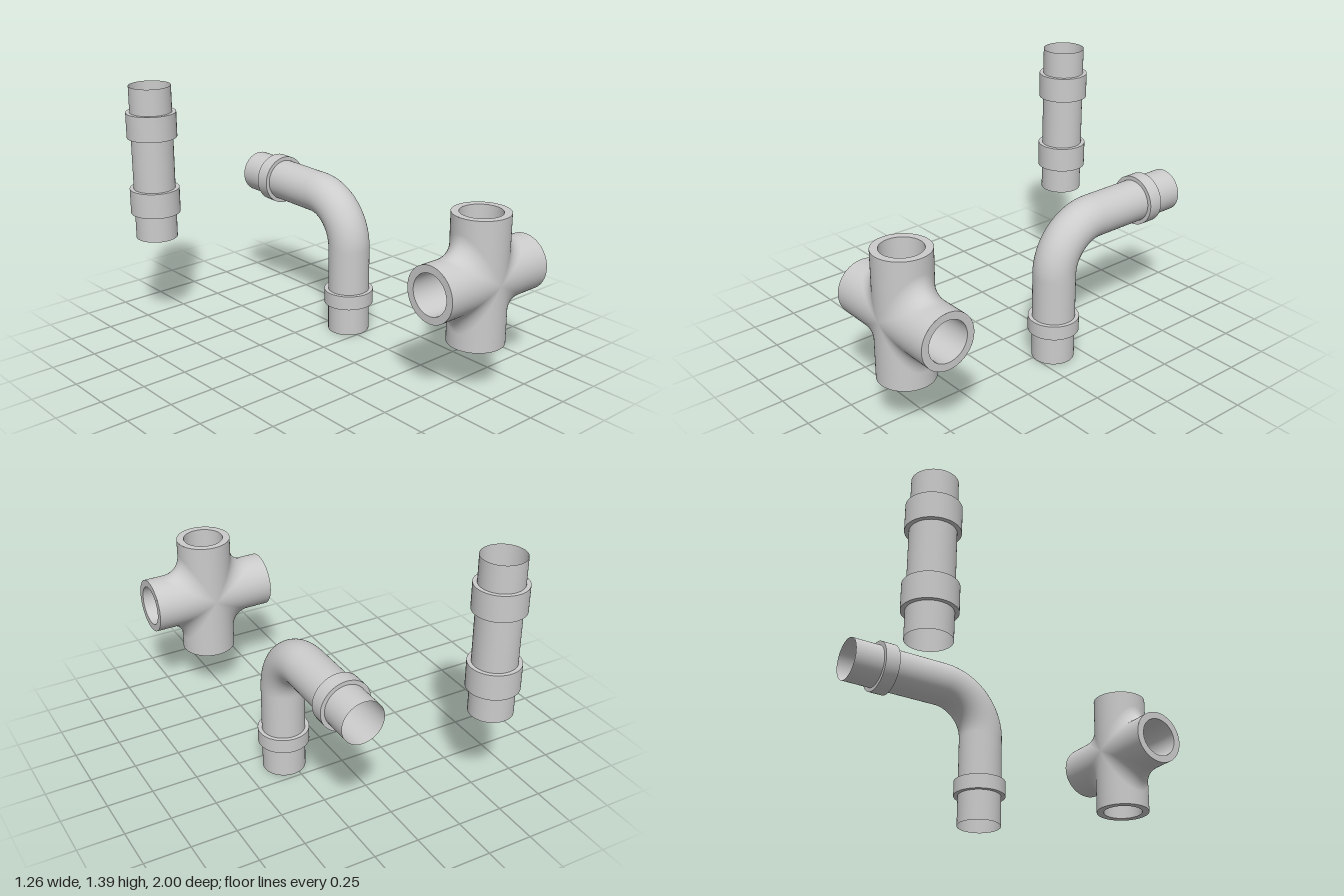
import * as THREE from 'three';
import { toCreasedNormals } from 'three/addons/utils/BufferGeometryUtils.js';

const PIPE_R = 0.115, COLLAR_R = 0.137, SIDES = 64;
const material = new THREE.MeshStandardMaterial({ color: 0xcccccc, side: THREE.DoubleSide });

function add(parent, name, geometry) {
  const mesh = new THREE.Mesh(geometry, material);
  mesh.name = name;
  parent.add(mesh);
  return mesh;
}

// Sleeve around a pipe, with flat ends; its axis is y
function addCollar(parent, name, height) {
  const h = height / 2;
  const profile = [[PIPE_R, -h], [COLLAR_R, -h], [COLLAR_R, h], [PIPE_R, h]]
    .map(([r, y]) => new THREE.Vector2(r, y));
  return add(parent, name, toCreasedNormals(new THREE.LatheGeometry(profile, SIDES), 0.6));
}

function straightPipe() {
  const group = new THREE.Group();
  group.name = 'straightPipe';
  add(group, 'straightTube', new THREE.CylinderGeometry(PIPE_R, PIPE_R, 0.861, SIDES, 1, true));
  addCollar(group, 'lowerCollar', 0.14).position.y = -0.215;
  addCollar(group, 'upperCollar', 0.14).position.y = 0.215;
  group.position.set(-0.493, 0.9635, -0.863);
  return group;
}

function elbowPipe() {
  const group = new THREE.Group();
  group.name = 'elbowPipe';
  const v = (y, z) => new THREE.Vector3(0, y, z);
  const topY = 0.749, bend = 0.26, k = bend * 0.5523;
  const start = v(topY - bend, 0), end = v(topY, -bend);
  const path = new THREE.CurvePath();
  path.add(new THREE.LineCurve3(v(0, 0), start));
  path.add(new THREE.CubicBezierCurve3(start, v(start.y + k, 0), v(topY, -bend + k), end));
  path.add(new THREE.LineCurve3(end, v(topY, -0.807)));
  add(group, 'elbowTube', new THREE.TubeGeometry(path, 120, PIPE_R, SIDES, false));
  addCollar(group, 'footCollar', 0.08).position.y = 0.203;
  const collar = addCollar(group, 'endCollar', 0.08);
  collar.rotation.x = Math.PI / 2;
  collar.position.set(0, topY, -0.607);
  group.position.set(0.283, 0, -0.113);
  return group;
}

// One quarter of two crossing cylinders: from the end of the upper arm,
// round a rolling-ball fillet, to the end of the side arm
function crossQuarter(radius, fillet, length, inward) {
  const rows = 48, arcSteps = 14, cols = arcSteps + 3;
  const positions = [], normals = [], index = [];
  for (let i = 0; i <= rows; i++) {
    const phi = (i / rows - 0.5) * Math.PI, c = Math.cos(phi), s = Math.sin(phi);
    const upper = new THREE.Vector3(c, 0, s), side = new THREE.Vector3(0, c, s);
    const ball = new THREE.Vector3(c, c, s).multiplyScalar(radius + fillet);
    const put = (p, n) => {
      positions.push(p.x, p.y, p.z);
      const sign = inward ? -1 : 1;
      normals.push(n.x * sign, n.y * sign, n.z * sign);
    };
    put(new THREE.Vector3(radius * c, length, radius * s), upper);
    for (let j = 0; j <= arcSteps; j++) {
      const t = j / arcSteps;
      const angle = Math.acos(Math.min(1, s * s)), sinA = Math.sin(angle);
      const a = sinA < 1e-5 ? 1 - t : Math.sin((1 - t) * angle) / sinA;
      const b = sinA < 1e-5 ? t : Math.sin(t * angle) / sinA;
      const n = upper.clone().multiplyScalar(a).addScaledVector(side, b).normalize();
      put(ball.clone().addScaledVector(n, -fillet), n);
    }
    put(new THREE.Vector3(length, radius * c, radius * s), side);
  }
  for (let i = 0; i < rows; i++) {
    for (let j = 0; j < cols - 1; j++) {
      const a = i * cols + j, b = a + cols;
      if (inward) index.push(a, a + 1, b, b, a + 1, b + 1);
      else index.push(a, b, a + 1, b, b + 1, a + 1);
    }
  }
  const geometry = new THREE.BufferGeometry();
  geometry.setAttribute('position', new THREE.Float32BufferAttribute(positions, 3));
  geometry.setAttribute('normal', new THREE.Float32BufferAttribute(normals, 3));
  geometry.setIndex(index);
  return geometry;
}

function crossFitting() {
  const group = new THREE.Group();
  group.name = 'crossFitting';
  const outer = 0.15, bore = 0.11, length = 0.345;
  const shell = crossQuarter(outer, 0.11, length, false);
  const inside = crossQuarter(bore, 0, length, true);
  const rim = new THREE.RingGeometry(bore, outer, SIDES);
  rim.rotateX(-Math.PI / 2).translate(0, length, 0);
  for (let q = 0; q < 4; q++) {
    const turn = q * Math.PI / 2;
    add(group, 'crossShell', shell).rotation.z = turn;
    add(group, 'crossBore', inside).rotation.z = turn;
    add(group, 'armRim', rim).rotation.z = turn;
  }
  group.position.set(0.283, 0.603, 0.845);
  return group;
}

export function createModel() {
  const model = new THREE.Group();
  model.name = 'pipeFittings';
  model.add(straightPipe(), elbowPipe(), crossFitting());
  return model;
}
